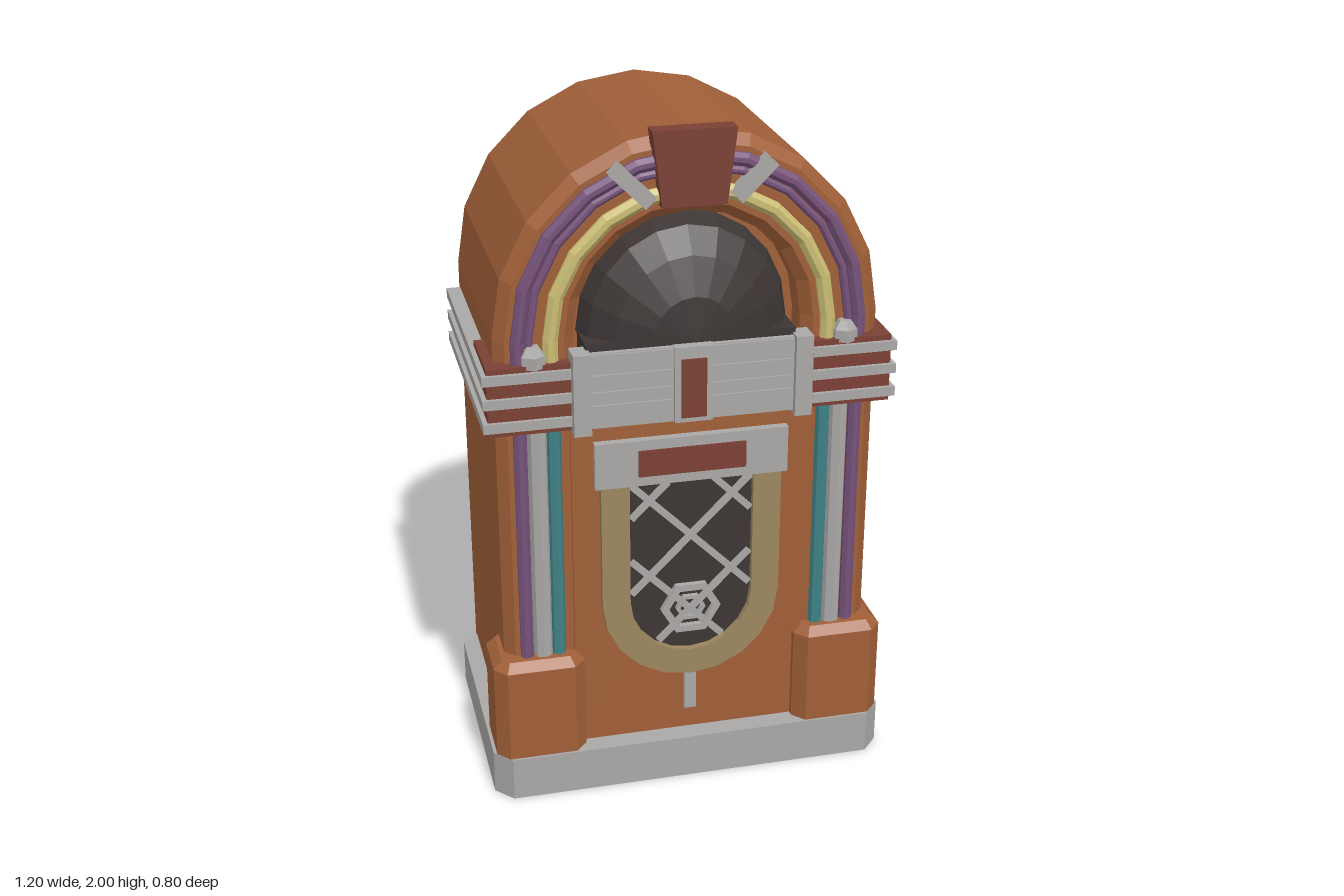
import * as THREE from 'three';

const mat = (name, color) => {
  const m = new THREE.MeshStandardMaterial({ color, flatShading: true });
  m.name = name;
  return m;
};

export function createModel() {
  const wood = mat('wood', 0xa05f38), chrome = mat('chrome', 0xaaa8a6), red = mat('red', 0x7a4034);
  const purple = mat('purple', 0x76527a), teal = mat('teal', 0x3f8286), yellow = mat('yellow', 0xcabd74);
  const tan = mat('tan', 0x9b8660), dark = mat('dark', 0x3c3534);
  const root = new THREE.Group();
  root.name = 'jukebox';

  const add = (name, geo, material) => {
    const m = new THREE.Mesh(geo, material);
    m.name = name;
    root.add(m);
    return m;
  };
  // box given by its limits on each axis
  const box = (name, material, x0, x1, y0, y1, z0, z1) =>
    add(name, new THREE.BoxGeometry(Math.abs(x1 - x0), y1 - y0, z1 - z0), material)
      .position.set((x0 + x1) / 2, (y0 + y1) / 2, (z0 + z1) / 2);
  const poly = (pts) => new THREE.Shape(pts.map(([x, y]) => new THREE.Vector2(x, y)));
  // extrusion between two depths, bevelled inward by b
  const slab = (shape, z0, z1, b = 0) => new THREE.ExtrudeGeometry(shape, {
    depth: z1 - z0 - 2 * b, bevelEnabled: b > 0, bevelSize: b, bevelThickness: b,
    bevelOffset: -b, bevelSegments: 1,
  }).translate(0, 0, z0 + b);
  // plan outline (x, z) raised from y0 to y1
  const plan = (pts, y0, y1, b = 0) =>
    slab(poly(pts.map(([x, z]) => [x, -z])), y0, y1, b).rotateX(-Math.PI / 2);

  // arch standing on yb; dir -1 hangs it upside down
  const arch = (r, yb, cy = 1.43, dir = 1, ky = 1.015) => {
    const pts = [[r, yb]];
    for (let i = 0; i <= 10; i++) {
      const a = (i / 10) * Math.PI;
      pts.push([r * Math.cos(a), cy + dir * ky * r * Math.sin(a)]);
    }
    pts.push([-r, yb]);
    return pts;
  };
  const archBand = (ro, ri, yb) => poly([...arch(ro, yb), ...arch(ri, yb).reverse()]);

  // cabinet: solid back plus a front with a recess for the dome
  add('cabinetBack', slab(poly(arch(0.55, 0.1)), -0.38, 0.22), wood);
  const front = poly(arch(0.55, 0.1));
  front.holes.push(new THREE.Path(arch(0.325, 1.2).map(([x, y]) => new THREE.Vector2(x, y))));
  add('cabinetFront', slab(front, 0.16, 0.325, 0.03), wood);
  box('frontPanel', wood, -0.345, 0.345, 0.13, 1.2, 0.3, 0.333);
  add('backHatch', slab(poly([[-0.317, 0.25], [0.317, 0.25], [0.317, 0.865], [-0.317, 0.865]]),
    -0.4, -0.36, 0.01), wood);

  // plinth with cut corners
  add('base', plan([[-0.55, 0.395], [0.55, 0.395], [0.6, 0.34], [0.6, -0.31], [0.525, -0.385],
    [-0.525, -0.385], [-0.6, -0.31], [-0.6, 0.34]], 0, 0.135), chrome);

  // recessed dark dome
  const dome = add('dome', new THREE.SphereGeometry(1, 10, 4, Math.PI, Math.PI, 0, Math.PI / 2)
    .rotateX(Math.PI / 2), dark);
  dome.scale.set(0.305, 0.33, 0.165);
  dome.position.set(0, 1.41, 0.221);
  box('domeSill', dark, -0.3, 0.3, 1.36, 1.41, 0.2, 0.34);

  // light tubes
  add('outerTube', slab(archBand(0.505, 0.468, 0.4), 0.3, 0.348, 0.012), purple);
  add('innerPurpleTube', slab(archBand(0.466, 0.444, 1.3), 0.3, 0.341, 0.007), purple);
  add('yellowTube', slab(archBand(0.416, 0.374, 1.3), 0.3, 0.348, 0.013), yellow);

  for (const s of [-1, 1]) {
    // columns and caps
    const tube = (name, material, x, r, y0, y1, z, rTop = r, n = 8) => {
      const m = add(name, new THREE.CylinderGeometry(rTop, r, y1 - y0, n), material);
      m.position.set(s * x, (y0 + y1) / 2, z);
    };
    tube('tealTube', teal, 0.392, 0.021, 0.4, 1.2, 0.327);
    tube('column', chrome, 0.438, 0.029, 0.4, 1.2, 0.325);
    tube('columnCap', chrome, 0.445, 0.038, 1.36, 1.395, 0.335, 0.038, 6);
    tube('columnCapTip', chrome, 0.445, 0.036, 1.395, 1.42, 0.335, 0.018, 6);

    // corner feet
    const foot = [[0.32, 0.155], [0.55, 0.155], [0.59, 0.195], [0.59, 0.35], [0.555, 0.388],
      [0.355, 0.388], [0.32, 0.35]].map(([x, z]) => [s * x, z]);
    add('cornerFoot', plan(s > 0 ? foot : foot.reverse(), 0.1, 0.45, 0.025), wood);

    // wraparound bands
    box('bandBlockFront', red, s * 0.345, s * 0.578, 1.17, 1.37, 0.3, 0.36);
    box('bandBlockSide', red, s * 0.53, s * 0.578, 1.17, 1.37, 0.13, 0.36);
    for (const y of [1.2, 1.27, 1.34]) {
      box('bandFront', chrome, s * 0.345, s * 0.592, y - 0.014, y + 0.014, 0.33, 0.372);
      box('bandSide', chrome, s * 0.54, s * 0.592, y - 0.014, y + 0.014, -0.36, 0.372);
    }

    // centre grille side: post, ribs and inner strip
    box('grillePost', chrome, s * 0.292, s * 0.342, 1.155, 1.395, 0.31, 0.38);
    for (const [y0, y1] of [[1.17, 1.235], [1.24, 1.275], [1.28, 1.325], [1.33, 1.385]])
      box('grilleRib', chrome, s * 0.055, s * 0.292, y0, y1, 0.32, 0.362);

    // slanted clasp beside the crown
    const clasp = add('crownClasp', new THREE.BoxGeometry(0.042, 0.14, 0.05), chrome);
    clasp.position.set(s * 0.168, 1.853, 0.34);
    clasp.rotation.z = -s * Math.PI / 4;
  }

  // grille centre
  box('grilleBack', chrome, -0.295, 0.295, 1.165, 1.388, 0.3, 0.356);
  box('grilleCentre', chrome, -0.055, 0.055, 1.165, 1.39, 0.32, 0.37);
  box('grilleBadge', red, -0.036, 0.036, 1.18, 1.355, 0.36, 0.376);

  // crown
  add('crown', slab(poly([[-0.09, 1.79], [0.09, 1.79], [0.116, 2], [-0.116, 2]]), 0.31, 0.366), red);

  // lower plate
  box('plate', chrome, -0.282, 0.282, 0.975, 1.115, 0.32, 0.358);
  box('plateInset', red, -0.157, 0.157, 1.005, 1.085, 0.35, 0.364);

  // speaker window
  const hang = (r) => arch(r, 0.98, 0.6, -1, 1);
  add('speakerFrame', slab(poly([...hang(0.265), ...hang(0.182).reverse()]), 0.32, 0.356), tan);
  add('speakerCloth', slab(poly(hang(0.19)), 0.325, 0.337), dark);
  box('stem', chrome, -0.018, 0.018, 0.21, 0.345, 0.32, 0.35);

  // lattice bars, trimmed to the window
  const inside = (x, y) => Math.abs(x) < 0.18 && y < 0.975 && (y > 0.6 || Math.hypot(x, y - 0.6) < 0.178);
  for (const s of [-1, 1]) for (const c of [0.55, 0.795, 1.04]) {
    const xs = [];
    for (let x = -0.18; x <= 0.18; x += 0.004) if (inside(x, c + s * x)) xs.push(x);
    const a = xs[0], b = xs[xs.length - 1], mid = (a + b) / 2;
    const bar = add('latticeBar', new THREE.BoxGeometry((b - a) * Math.SQRT2, 0.019, 0.012), chrome);
    bar.position.set(mid, c + s * mid, 0.342);
    bar.rotation.z = s * Math.PI / 4;
  }

  // hexagonal ring on the lattice
  const hex = (r) => [0, 1, 2, 3, 4, 5].map((i) =>
    new THREE.Vector2(r * Math.cos(i * Math.PI / 3), 0.557 + r * Math.sin(i * Math.PI / 3)));
  for (const [ro, ri, z] of [[0.09, 0.066, 0.354], [0.045, 0.032, 0.351]]) {
    const ring = new THREE.Shape(hex(ro));
    ring.holes.push(new THREE.Path(hex(ri)));
    add('hexRing', slab(ring, 0.334, z), chrome);
  }

  return root;
}
